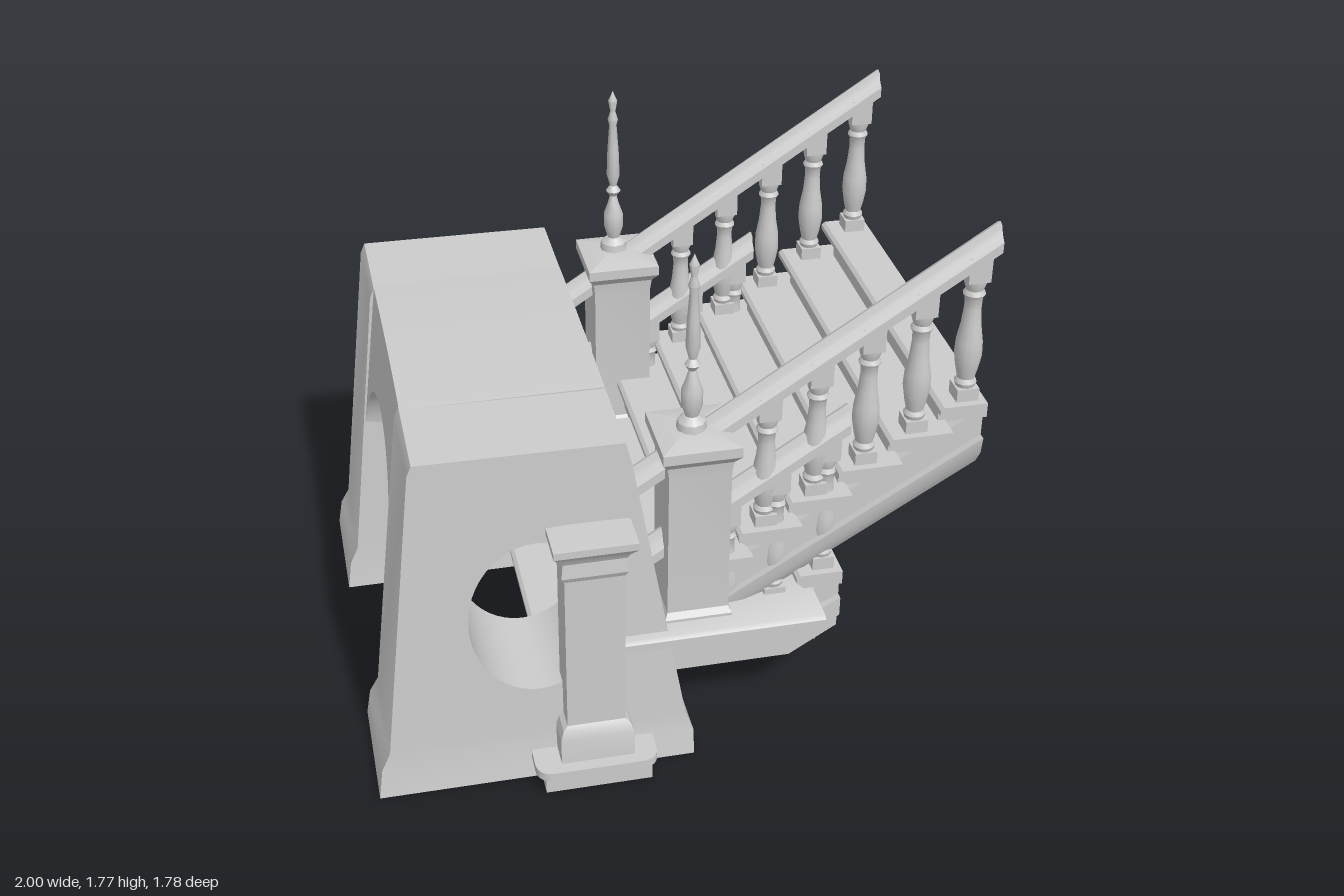
import * as THREE from 'three';
import { toCreasedNormals } from 'three/addons/utils/BufferGeometryUtils.js';

const material = new THREE.MeshStandardMaterial({ color: 0xcccccc, side: THREE.DoubleSide });
const PITCH = 0.16, RISE = 0.097, RAIL_SLOPE = 0.65, STRING_SLOPE = 0.61;

function add(parent, name, geometry, x = 0, y = 0, z = 0) {
  const mesh = new THREE.Mesh(geometry, material);
  mesh.name = name;
  mesh.position.set(x, y, z);
  parent.add(mesh);
  return mesh;
}

const shapeOf = pts => new THREE.Shape(pts.map(p => new THREE.Vector2(...p)));

// Side profile (x, y) swept from z0 to z1
function sweepZ(shape, z0, z1) {
  const g = new THREE.ExtrudeGeometry(shape, { depth: Math.abs(z1 - z0), bevelEnabled: false, curveSegments: 24 });
  g.translate(0, 0, Math.min(z0, z1));
  return toCreasedNormals(g, 0.6);
}

// Cross-section (z, y) swept from x0 to x1, rising with a slope
function sweepX(shape, x0, x1, slope = 0) {
  const g = new THREE.ExtrudeGeometry(shape, { depth: x1 - x0, bevelEnabled: false, curveSegments: 24 });
  g.rotateY(Math.PI / 2);
  return reshape(g.translate(x0, 0, 0), v => { v.y += slope * v.x; });
}

function reshape(g, rule) {
  const p = g.attributes.position, v = new THREE.Vector3();
  for (let i = 0; i < p.count; i++) {
    v.fromBufferAttribute(p, i);
    rule(v);
    p.setXYZ(i, v.x, v.y, v.z);
  }
  return toCreasedNormals(g, 0.6);
}

// Leaves out the triangles that lie on the ground
function openBottom(g) {
  const p = g.attributes.position, kept = [];
  for (let i = 0; i < p.count; i += 3) {
    if (Math.max(p.getY(i), p.getY(i + 1), p.getY(i + 2)) > 0.001) kept.push(i, i + 1, i + 2);
  }
  g.setIndex(kept);
  return g;
}

function box(parent, name, x0, x1, y0, y1, z0, z1) {
  add(parent, name, new THREE.BoxGeometry(x1 - x0, y1 - y0, Math.abs(z1 - z0)),
    (x0 + x1) / 2, (y0 + y1) / 2, (z0 + z1) / 2);
}

function lathe(pts, segments = 16) {
  return toCreasedNormals(new THREE.LatheGeometry(pts.map(p => new THREE.Vector2(...p)), segments), 0.7);
}

// Four-sided moulding: rows of [half width x, half depth z, y]
function moulding(rows) {
  const g = new THREE.LatheGeometry(rows.map((r, i) => new THREE.Vector2(1, i)), 4, Math.PI / 4);
  const p = g.attributes.position;
  for (let i = 0; i < p.count; i++) {
    const [hx, hz, y] = rows[Math.round(p.getY(i))];
    p.setXYZ(i, Math.sign(p.getX(i)) * hx, y, Math.sign(p.getZ(i)) * hz);
  }
  return toCreasedNormals(g, 0.3);
}

// Slice of the arched head between two fractions of the gate's thickness
function archHead(spring, crown, t0, t1) {
  const control = spring + (crown - spring) / 0.75;
  const head = new THREE.Shape();
  head.moveTo(-0.4, spring);
  head.lineTo(-0.38, spring);
  head.bezierCurveTo(-0.36, control, 0.36, control, 0.38, spring);
  head.lineTo(0.4, spring);
  head.lineTo(0.4, 1.225);
  head.quadraticCurveTo(0, 1.245, -0.4, 1.225);
  return reshape(sweepX(head, t0, t1), v => {
    const t = (v.y - 0.16) / 1.06;
    v.x = THREE.MathUtils.lerp(-0.955 + 0.135 * t, 0.015 - 0.19 * t, v.x);
  });
}

// Massive stone gate: two pierced legs and an arched head
function buildGate() {
  const gate = new THREE.Group();
  gate.name = 'stoneArch';
  for (const s of [1, -1]) {
    const leg = shapeOf([[-1, 0], [0.04, 0], [0.04, 0.09], [0.015, 0.16], [-0.155, 1.14],
      [-0.175, 1.22], [-0.82, 1.225], [-0.835, 1.19], [-0.955, 0.16], [-0.985, 0.1]]);
    const oval = new THREE.Path();
    oval.absellipse(-0.46, 0.62, 0.22, 0.28, 0, Math.PI * 2, true);
    leg.holes.push(oval);
    const g = sweepZ(leg, s * 0.37, s * 0.78);
    add(gate, 'archLeg', openBottom(reshape(g, v => {
      if (Math.abs(v.z) > 0.5) v.z = s * (0.76 - 0.045 * v.y / 1.22 + 0.02 * Math.max(0, 1 - v.y / 0.16));
      else v.z = s * (0.35 + 0.03 * Math.min(1, v.y * 4));
    })));
  }
  // Rounded at both faces, cut higher between the oval openings
  add(gate, 'archFace', archHead(0.66, 0.97, 0, 0.24));
  add(gate, 'archVault', archHead(0.89, 0.97, 0.24, 0.8));
  add(gate, 'archFace', archHead(0.66, 0.97, 0.8, 1));
  return gate;
}

// Square post against each flank of the gate
function buildSidePillar(s) {
  const pillar = new THREE.Group();
  pillar.name = 'sidePillar';
  const foot = new THREE.Shape();
  foot.moveTo(-0.5, s * 0.68);
  foot.lineTo(-0.5, s * 0.83);
  foot.quadraticCurveTo(-0.5, s * 0.89, -0.44, s * 0.89);
  foot.lineTo(-0.16, s * 0.89);
  foot.quadraticCurveTo(-0.1, s * 0.89, -0.1, s * 0.83);
  foot.lineTo(-0.1, s * 0.68);
  const slab = new THREE.ExtrudeGeometry(foot, { depth: 0.03, bevelEnabled: false });
  slab.rotateX(Math.PI / 2);
  add(pillar, 'pillarFoot', toCreasedNormals(slab, 0.6), 0, 0.1, 0);
  const base = new THREE.BoxGeometry(0.35, 0.08, 0.185).toNonIndexed().translate(-0.295, 0.04, s * 0.7725);
  add(pillar, 'pillarBase', openBottom(base));
  add(pillar, 'pillarShaft', moulding([[0.12, 0.09, 0.09], [0.12, 0.085, 0.19], [0.11, 0.075, 0.22],
    [0.095, 0.065, 0.235], [0.095, 0.065, 0.81], [0.105, 0.075, 0.83], [0.1, 0.07, 0.88],
    [0.11, 0.08, 0.9], [0.132, 0.1, 0.925], [0.132, 0.1, 0.95], [0, 0, 0.955]]), -0.295, 0, s * 0.76);
  return pillar;
}

// Newel on its moulded plinth with a turned finial
function buildNewel(s) {
  const newel = new THREE.Group();
  newel.name = 'newelPost';
  const rows = [[0.53, 0.37], [0.72, 0.37], [0.735, 0.38], [0.735, 0.43], [0.76, 0.45], [0.78, 0.46], [0.78, 0.49], [0.765, 0.5], [0.53, 0.5]];
  add(newel, 'newelPlinth', reshape(sweepX(shapeOf(rows.map(([z, y]) => [-s * z, y])), -0.2, 0.47),
    v => { if (v.x > 0 && v.y < 0.455) v.x -= 0.02; }));
  add(newel, 'newelShaft', moulding([[0.11, 0.115, 0.49], [0.11, 0.115, 0.51], [0.1, 0.1, 0.53],
    [0.1, 0.1, 1.05], [0.105, 0.105, 1.09], [0.125, 0.13, 1.12], [0.125, 0.13, 1.155], [0.05, 0.05, 1.175], [0, 0, 1.175]]),
    0.065, 0, s * 0.59);
  add(newel, 'finial', lathe([[0.05, 1.16], [0.045, 1.2], [0.022, 1.22], [0.034, 1.26], [0.034, 1.31],
    [0.02, 1.35], [0.012, 1.38], [0.026, 1.4], [0.012, 1.42], [0.023, 1.46], [0.02, 1.55],
    [0.013, 1.65], [0.018, 1.67], [0.009, 1.7], [0.016, 1.74], [0, 1.775]], 10), 0.055, 0, s * 0.6);
  return newel;
}

// Turned baluster with square blocks at both ends
function buildBaluster(h) {
  const b = new THREE.Group();
  b.name = 'baluster';
  box(b, 'balusterBase', -0.036, 0.036, 0, 0.09 * h, -0.036, 0.036);
  box(b, 'balusterHead', -0.036, 0.036, 0.86 * h, 1.04 * h, -0.036, 0.036);
  add(b, 'balusterVase', lathe([[0.03, 0.08], [0.036, 0.12], [0.028, 0.15], [0.036, 0.22], [0.044, 0.32], [0.042, 0.42],
    [0.032, 0.54], [0.027, 0.66], [0.028, 0.73], [0.036, 0.76], [0.028, 0.79], [0.036, 0.84], [0.036, 0.88]]
    .map(([r, y]) => [r, y * h]), 12));
  return b;
}

// Treads, risers, handrails and balusters, hung from the flight's top end at x = 1
function buildFlight(name, count, dx, dy) {
  const flight = new THREE.Group();
  flight.name = name;
  flight.position.set(dx, dy, 0);
  for (let i = 0; i < count; i++) {
    const x = 0.845 - i * PITCH, y = 1.165 - i * RISE;
    const half = x + dx < 0 ? 0.385 : 0.65;
    const end = i ? x + PITCH + 0.05 : 1;
    const tread = shapeOf([[x + 0.012, y], [x, y - 0.01], [x, y - 0.027], [x + 0.012, y - 0.037],
      [x + 0.025, y - 0.05], [end, y - 0.05], [end, y]]);
    add(flight, 'tread', sweepZ(tread, -half, half));
    const inner = Math.min(half, 0.57);
    box(flight, 'riser', x + 0.025, x + 0.05, Math.max(y - RISE - 0.02, -dy), y - 0.04, -inner, inner);
  }
  for (const s of [1, -1]) {
    // Peaked handrail
    const section = [[-0.045, -0.085], [0.045, -0.085], [0.045, -0.05], [0.025, -0.03],
      [0.018, -0.008], [0, 0], [-0.018, -0.008], [-0.025, -0.03], [-0.045, -0.05]];
    const base = 1.775 - RAIL_SLOPE;
    add(flight, 'handrail', sweepX(shapeOf(section.map(([z, y]) => [z, y + base])), -0.13 - Math.min(0, dx), 1, RAIL_SLOPE), 0, 0, s * 0.59);
    for (let i = 0; i < count; i++) {
      const x = 0.94 - i * PITCH, y = 1.165 - i * RISE;
      if (Math.abs(x + dx - 0.06) < 0.11 || x + dx < -0.12) continue;
      const b = buildBaluster(base + RAIL_SLOPE * x - 0.08 - y);
      b.position.set(x, y, s * 0.59);
      flight.add(b);
    }
  }
  return flight;
}

export function createModel() {
  const model = new THREE.Group();
  model.name = 'archedStaircase';
  model.add(buildGate());
  model.add(buildFlight('upperFlight', 7, 0, 0));
  model.add(buildFlight('lowerFlight', 6, -0.44, -0.59));
  for (const s of [1, -1]) {
    model.add(buildSidePillar(s), buildNewel(s));

    // Sloping stringer with a V-shaped lower moulding
    add(model, 'upperStringer', sweepZ(shapeOf([[0.05, 0.42], [1, 0.96], [1, 1.13], [0, 0.53]]), s * 0.56, s * 0.62));
    const lip = [[0.545, 1.03], [0.55, 0.97], [0.585, 0.915], [0.6, 0.915], [0.635, 0.97], [0.645, 1.03]];
    add(model, 'stringerMoulding', sweepX(shapeOf(lip.map(([z, y]) => [-s * z, y - STRING_SLOPE])), 0.1, 1, STRING_SLOPE));

    // Level stringer turning up under the lower flight
    add(model, 'lowerStringer', sweepZ(shapeOf([[-0.02, 0.23], [0.4, 0.23], [0.56, 0.33], [0.56, 0.54],
      [0.4, 0.46], [-0.02, 0.4]]), s * 0.56, s * 0.62));
    add(model, 'lowerMoulding', sweepZ(shapeOf([[-0.02, 0.29], [0.39, 0.29], [0.56, 0.39], [0.56, 0.46],
      [0.36, 0.36], [-0.02, 0.36]]), s * 0.545, s * 0.645));
  }
  // Soffit of the landing
  box(model, 'landingSoffit', 0, 0.3, 0.28, 0.31, -0.57, 0.57);
  return model;
}
